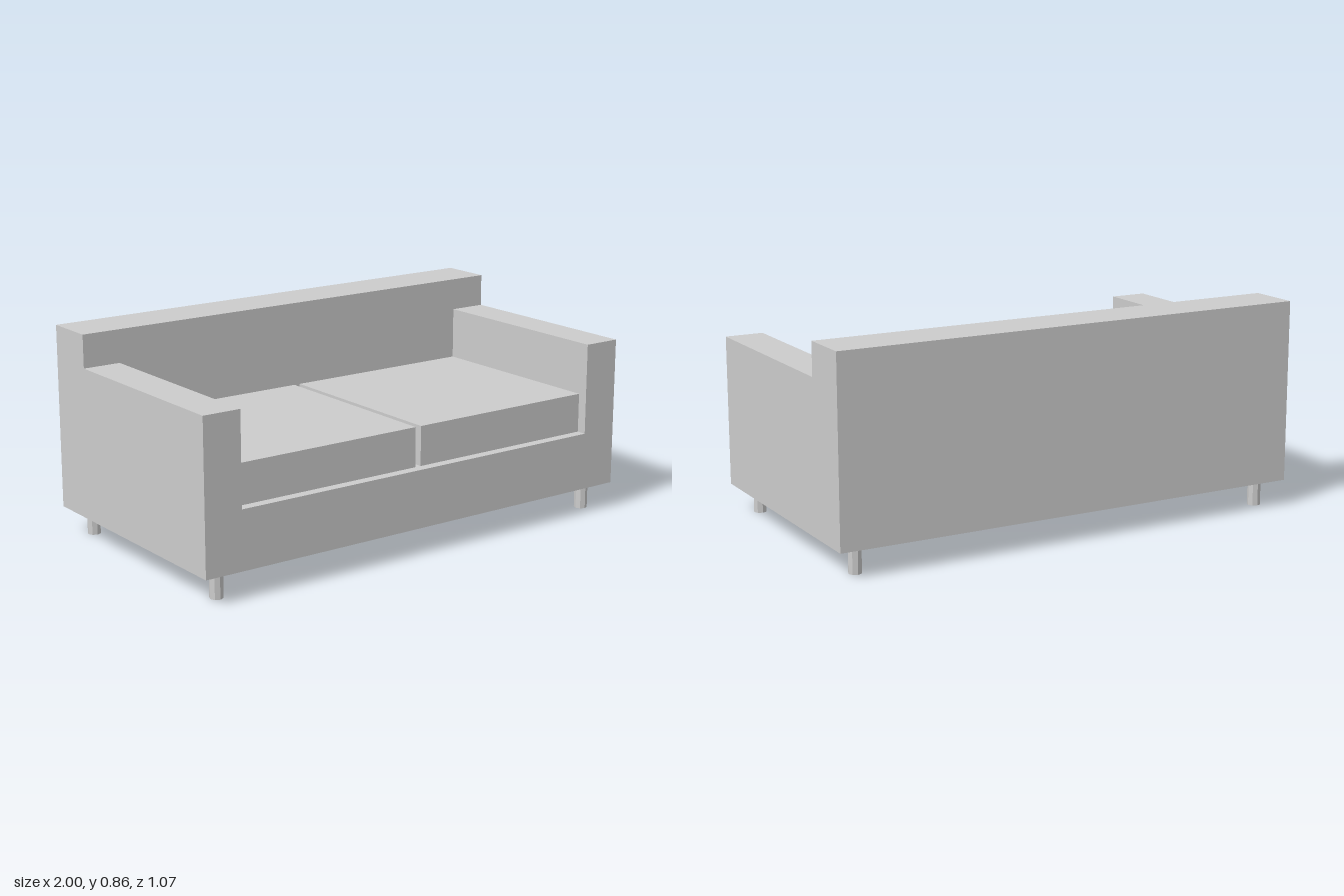
import * as THREE from 'three';

export function createModel() {
  const model = new THREE.Group();
  model.name = 'sofa';
  const grey = new THREE.MeshStandardMaterial({ color: 0xcccccc, flatShading: true });
  grey.name = 'light grey';

  const add = (name, geometry, x = 0, y = 0, z = 0) => {
    const mesh = new THREE.Mesh(geometry, grey);
    mesh.name = name;
    mesh.position.set(x, y, z);
    model.add(mesh);
    return mesh;
  };

  const bottom = 0.11, seat = 0.347, armTop = 0.722, backTop = 0.856;
  const front = 0.534, backFront = -0.32, inner = 0.842;

  // Base and both arms: one U-shaped section running front to back
  const section = new THREE.Shape([
    [-1, bottom], [1, bottom], [1, armTop], [inner, armTop],
    [inner, seat], [-inner, seat], [-inner, armTop], [-1, armTop],
  ].map(([x, y]) => new THREE.Vector2(x, y)));
  add('baseAndArms', new THREE.ExtrudeGeometry(section, {
    depth: front - backFront, bevelEnabled: false,
  }), 0, 0, backFront);

  // Full-width backrest
  add('backrest', new THREE.BoxGeometry(2, backTop - bottom, backFront + front),
    0, (backTop + bottom) / 2, (backFront - front) / 2);

  const cushionTop = 0.508, cushionFront = 0.493, gap = 0.013;
  for (const side of [1, -1]) {
    const prefix = side > 0 ? 'left' : 'right';

    // Seat cushions with a narrow gap between them
    add(prefix + 'Cushion',
      new THREE.BoxGeometry(inner - gap, cushionTop - seat, cushionFront - backFront),
      side * (inner + gap) / 2, (cushionTop + seat) / 2, (cushionFront + backFront) / 2);

    // Octagonal legs
    for (const end of [1, -1]) {
      add(prefix + (end > 0 ? 'FrontLeg' : 'BackLeg'),
        new THREE.CylinderGeometry(0.027, 0.027, bottom, 8),
        side * 0.907, bottom / 2, end * 0.455);
    }
  }
  return model;
}
